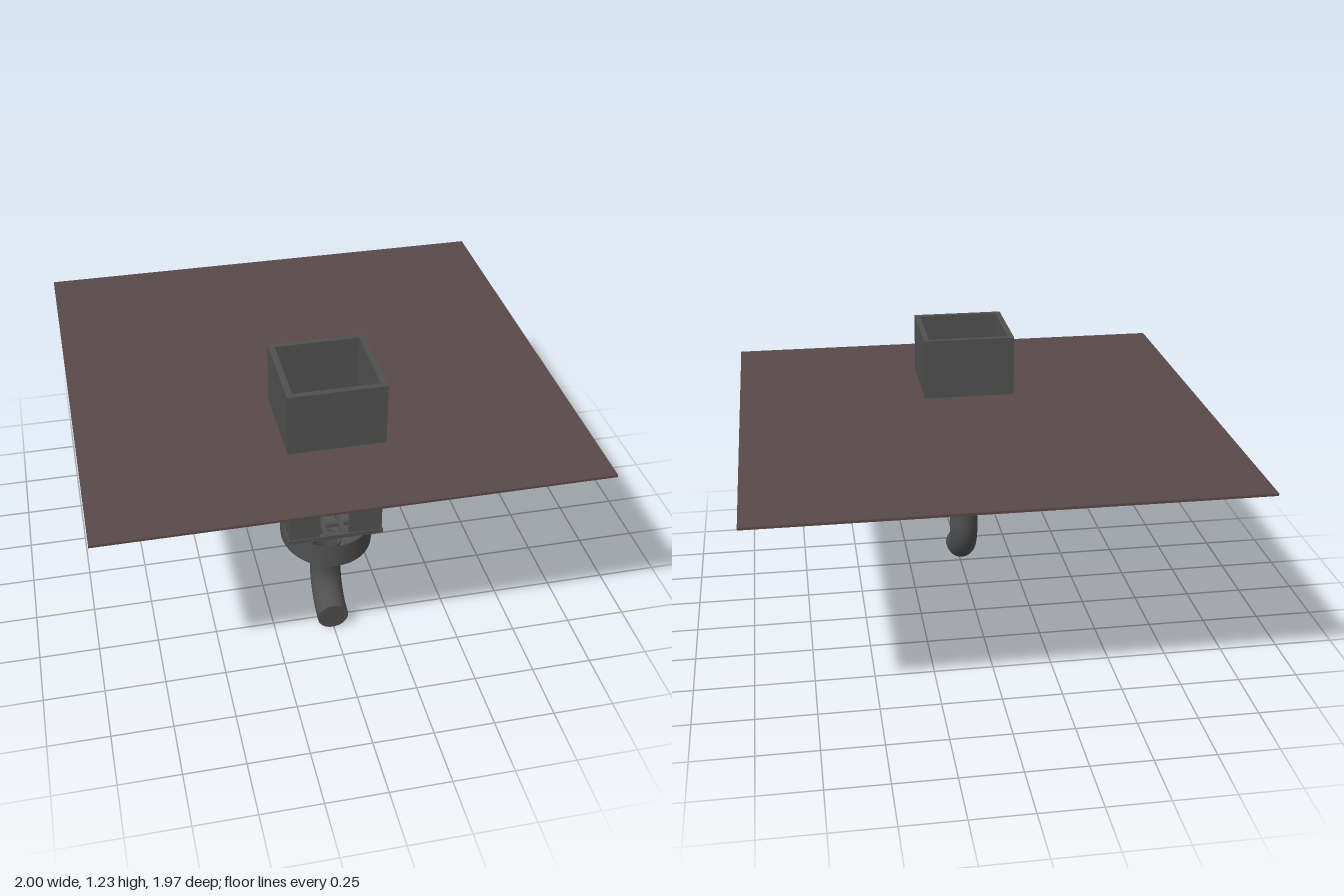
import * as THREE from 'three';

const grey = new THREE.MeshStandardMaterial({ color: 0x505050, side: THREE.DoubleSide });
const brown = new THREE.MeshStandardMaterial({ color: 0x594a4a });
const CX = -0.003, CZ = 0.4; // centre of the drain shaft

function rect(Type, x0, y0, x1, y1) {
  const p = new Type();
  p.moveTo(x0, y0);
  p.lineTo(x1, y0);
  p.lineTo(x1, y1);
  p.lineTo(x0, y1);
  p.closePath();
  return p;
}

// Horizontal slab: the shape's y becomes -z, extruded from y0 up to y1
function slab(shape, y0, y1) {
  const g = new THREE.ExtrudeGeometry(shape, { depth: y1 - y0, bevelEnabled: false });
  g.rotateX(-Math.PI / 2);
  g.translate(0, y0, 0);
  return g;
}

export function createModel() {
  const model = new THREE.Group();
  const add = (name, geometry, material, x = 0, y = 0, z = 0) => {
    const mesh = new THREE.Mesh(geometry, material);
    mesh.name = name;
    mesh.position.set(x, y, z);
    model.add(mesh);
    return mesh;
  };

  // Ground sheet with a square opening over the shaft
  const sheet = rect(THREE.Shape, -1, -0.985, 1, 0.985);
  sheet.holes.push(rect(THREE.Path, CX - 0.175, -CZ - 0.175, CX + 0.175, -CZ + 0.175));
  add('groundSheet', slab(sheet, 0.955, 0.965), brown);

  // Open square collar above the sheet
  const collar = rect(THREE.Shape, -0.198, -0.197, 0.198, 0.197);
  collar.holes.push(rect(THREE.Path, -0.173, -0.172, 0.173, 0.172));
  add('upperCollar', slab(collar, 0.968, 1.23), grey, CX, 0, CZ);

  // Lower shaft: back and side walls, and a front wall with a slot
  const h = 0.43, yMid = 0.53 + h / 2;
  add('shaftBack', new THREE.BoxGeometry(0.386, h, 0.02), grey, CX, yMid, CZ - 0.185);
  for (const s of [-1, 1])
    add(s < 0 ? 'shaftRight' : 'shaftLeft', new THREE.BoxGeometry(0.02, h, 0.35), grey, CX + s * 0.183, yMid, CZ);
  const front = new THREE.Shape();
  [[-0.193, 0.53], [-0.065, 0.53], [-0.065, 0.83], [-0.057, 0.838], [0.049, 0.838], [0.057, 0.83],
    [0.057, 0.53], [0.193, 0.53], [0.193, 0.96], [-0.193, 0.96]]
    .forEach(([x, y], i) => (i ? front.lineTo(x, y) : front.moveTo(x, y)));
  front.closePath();
  add('shaftFront', new THREE.ExtrudeGeometry(front, { depth: 0.02, bevelEnabled: false }), grey, CX, 0, CZ + 0.175);

  // Grate: five by five openings in the floor flange
  const grate = rect(THREE.Shape, -0.198, -0.2, 0.198, 0.2);
  for (let i = -2; i <= 2; i++)
    for (let j = -2; j <= 2; j++)
      grate.holes.push(rect(THREE.Path, i * 0.075 - 0.028, j * 0.076 - 0.027, i * 0.075 + 0.028, j * 0.076 + 0.027));
  add('grate', slab(grate, 0.515, 0.533), grey, CX, 0, CZ);

  // Oval funnel below the grate: separate profiles keep the rim crease sharp
  const pz = 0.417;
  const oval = (name, points) => {
    const g = new THREE.LatheGeometry(points.map(p => new THREE.Vector2(...p)), 48);
    g.scale(0.19 / 0.23, 1, 1);
    add(name, g, grey, -0.005, 0, pz);
  };
  oval('funnelRim', [[0.23, 0.41], [0.23, 0.515]]);
  oval('funnelCone', [[0.066, 0.352], [0.23, 0.41]]);

  // Outlet pipe: straight drop, then a quarter bend to the front
  const path = new THREE.CurvePath();
  const bend = [];
  const R = 0.175;
  for (let i = 0; i <= 12; i++) {
    const a = (i / 12) * 1.5;
    bend.push(new THREE.Vector3(-0.005, 0.245 - R * Math.sin(a), pz + R * (1 - Math.cos(a))));
  }
  path.add(new THREE.LineCurve3(new THREE.Vector3(-0.005, 0.37, pz), bend[0]));
  path.add(new THREE.CatmullRomCurve3(bend));
  add('outletPipe', new THREE.TubeGeometry(path, 40, 0.066, 32), grey);

  // Flat end of the pipe
  const cap = add('pipeEnd', new THREE.CircleGeometry(0.066, 32), grey);
  cap.position.copy(bend[12]);
  cap.rotation.x = Math.PI / 2 - 1.5;

  return model;
}
